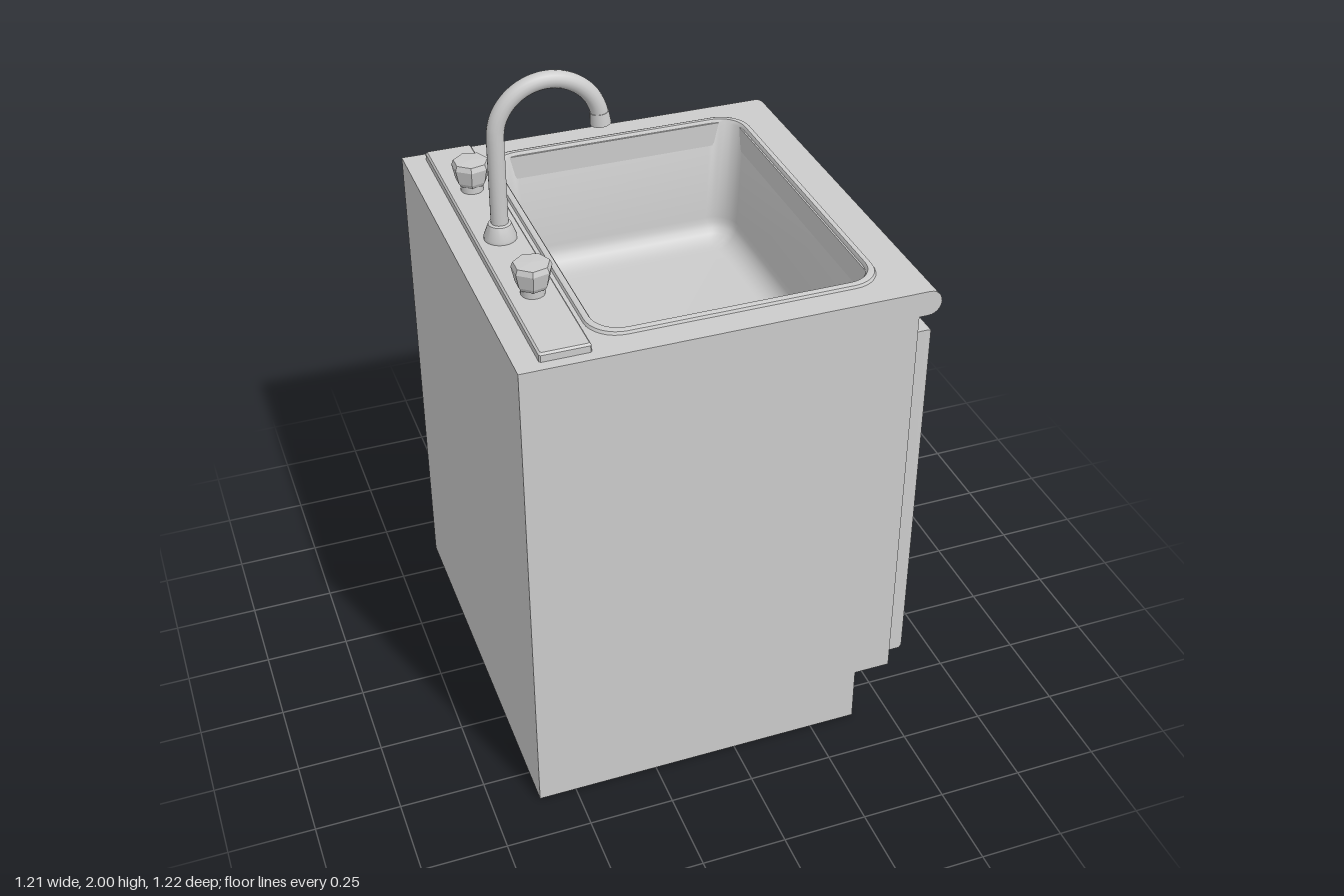
import * as THREE from 'three';
import { toCreasedNormals } from 'three/addons/utils/BufferGeometryUtils.js';

const material = new THREE.MeshStandardMaterial({ color: 0xcccccc });
const flatMaterial = new THREE.MeshStandardMaterial({ color: 0xcccccc, flatShading: true });

function add(parent, name, geometry, x = 0, y = 0, z = 0, mat = material) {
  const mesh = new THREE.Mesh(geometry, mat);
  mesh.name = name;
  mesh.position.set(x, y, z);
  parent.add(mesh);
  return mesh;
}

// Skin through equal-length loops, closing the last one with a fan.
function loft(loops) {
  const n = loops[0].length;
  const positions = loops.flat(2);
  const index = [];
  for (let i = 0; i < loops.length - 1; i++) {
    for (let j = 0; j < n; j++) {
      const a = i * n + j, b = i * n + (j + 1) % n;
      index.push(a, b, b + n, a, b + n, a + n);
    }
  }
  const last = (loops.length - 1) * n;
  for (let j = 1; j < n - 1; j++) index.push(last, last + j, last + j + 1);
  const g = new THREE.BufferGeometry();
  g.setAttribute('position', new THREE.Float32BufferAttribute(positions, 3));
  g.setIndex(index);
  return toCreasedNormals(g, 0.6);
}

// Horizontal rounded rectangle, anticlockwise seen from above.
function roundedLoop(halfX, halfZ, r, y, steps) {
  const pts = [];
  [[1, 1], [-1, 1], [-1, -1], [1, -1]].forEach(([sx, sz], q) => {
    for (let i = 0; i <= steps; i++) {
      const a = (q + i / steps) * Math.PI / 2;
      pts.push([sx * (halfX - r) + r * Math.cos(a), y, -sz * (halfZ - r) - r * Math.sin(a)]);
    }
  });
  return pts;
}

function rectPath(path, x0, x1, z0, z1) {
  path.moveTo(x0, z0).lineTo(x1, z0).lineTo(x1, z1).lineTo(x0, z1).closePath();
  return path;
}

// Rectangular wall frame, extruded upward from y0 to y1.
function frame(outer, inner, y0, y1) {
  const shape = rectPath(new THREE.Shape(), ...outer);
  shape.holes.push(rectPath(new THREE.Path(), ...inner));
  const g = new THREE.ExtrudeGeometry(shape, { depth: y1 - y0, bevelEnabled: false });
  return g.rotateX(-Math.PI / 2).translate(0, y0, 0);
}

// Moulded door: nested rectangles of [inset, x].
function doorGeometry(halfWidth, y0, y1) {
  const profile = [[0, 0.5], [0, 0.55], [0.006, 0.56], [0.014, 0.564], [0.044, 0.564],
    [0.05, 0.55], [0.085, 0.554], [0.132, 0.566], [0.133, 0.577]];
  return loft(profile.map(([d, x]) => {
    const w = halfWidth - d;
    return [[x, y0 + d, w], [x, y0 + d, -w], [x, y1 - d, -w], [x, y1 - d, w]];
  }));
}

export function createModel() {
  const model = new THREE.Group();
  model.name = 'sinkCabinet';

  // Cabinet and recessed plinth, open underneath
  add(model, 'plinth', frame([-0.61, 0.39, -0.61, 0.61], [-0.565, 0.345, -0.565, 0.565], 0, 0.175));
  add(model, 'cabinetFloor', new THREE.BoxGeometry(1.11, 0.03, 1.22), -0.055, 0.19, 0);
  add(model, 'cabinetWalls', frame([-0.61, 0.5, -0.61, 0.61], [-0.57, 0.46, -0.57, 0.57], 0.205, 1.425));

  // Countertop with a bullnose front edge
  add(model, 'countertop', frame([-0.61, 0.527, -0.61, 0.61], [-0.36, 0.41, -0.5, 0.5], 1.425, 1.5));
  const nose = new THREE.CylinderGeometry(0.0375, 0.0375, 1.22, 24).rotateX(Math.PI / 2);
  add(model, 'countertopNose', nose, 0.527, 1.4625, 0);

  // Basin: raised rim, sloping walls, rounded floor. Rows are [inset, y, corner radius]
  const rows = [[0, 1.498, 0.09], [0.004, 1.508, 0.09], [0.012, 1.511, 0.085],
    [0.02, 1.51, 0.08], [0.025, 1.5, 0.08], [0.042, 1.18, 0.08]];
  for (let i = 1; i <= 6; i++) {
    const a = i / 6 * Math.PI / 2;
    rows.push([0.042 + 0.07 * (1 - Math.cos(a)), 1.18 - 0.07 * Math.sin(a), 0.08 - 0.05 * i / 6]);
  }
  const basin = loft(rows.map(([d, y, r]) => roundedLoop(0.413 - d, 0.53 - d, r, y, 8)));
  add(model, 'basin', basin, 0.027, 0, 0);

  // Tap deck
  const deck = loft([[0, 1.5], [0, 1.52], [0.005, 1.526]].map(([d, y]) =>
    roundedLoop(0.07 - d, 0.577 - d, 0.004, y, 1)));
  add(model, 'tapDeck', deck, -0.475, 0, 0);

  // Gooseneck tap
  const tap = new THREE.Group();
  tap.name = 'tap';
  tap.position.set(-0.475, 0, -0.012);
  model.add(tap);
  const collar = [[0.046, 1.525], [0.046, 1.535], [0.032, 1.572], [0.024, 1.575]];
  add(tap, 'tapCollar', toCreasedNormals(
    new THREE.LatheGeometry(collar.map(p => new THREE.Vector2(...p)), 24), 0.6));
  const neck = new THREE.CurvePath();
  neck.add(new THREE.LineCurve3(new THREE.Vector3(0, 1.53, 0), new THREE.Vector3(0, 1.828, 0)));
  const arc = [];
  for (let i = 0; i <= 16; i++) {
    const a = Math.PI * (1 - i / 16 * 0.97);
    arc.push(new THREE.Vector3(0.148 + 0.148 * Math.cos(a), 1.828 + 0.148 * Math.sin(a), 0));
  }
  neck.add(new THREE.CatmullRomCurve3(arc));
  add(tap, 'tapNeck', new THREE.TubeGeometry(neck, 64, 0.0245, 16));
  const tip = add(tap, 'tapNozzle', new THREE.CylinderGeometry(0.026, 0.029, 0.036, 20), 0.294, 1.842, 0);
  tip.rotation.z = 0.1;

  // Seven-sided handles on round stems
  const knob = [[0, 1.545], [0.04, 1.548], [0.047, 1.56], [0.056, 1.603], [0.05, 1.618], [0, 1.62]]
    .map(p => new THREE.Vector2(...p));
  for (const [side, z] of [['left', -0.305], ['right', 0.295]]) {
    add(model, side + 'KnobStem', new THREE.CylinderGeometry(0.033, 0.033, 0.03, 20), -0.475, 1.537, z);
    add(model, side + 'Knob', new THREE.LatheGeometry(knob, 7, Math.PI / 2), -0.475, 0, z, flatMaterial);
  }

  // Doors with bar handles
  for (const [side, s] of [['right', 1], ['left', -1]]) {
    add(model, side + 'Door', doorGeometry(0.284, 0.2, 1.355), 0, 0, s * 0.293 + 0.002);
    const handle = new THREE.Group();
    handle.name = side + 'Handle';
    handle.position.z = s * 0.052 + 0.002;
    model.add(handle);
    add(handle, 'handleBar', new THREE.BoxGeometry(0.012, 0.28, 0.043), 0.598, 1.11, 0);
    for (const y of [1.015, 1.205]) {
      const post = new THREE.CylinderGeometry(0.016, 0.016, 0.04, 16).rotateZ(Math.PI / 2);
      add(handle, 'handlePost', post, 0.575, y, 0);
    }
  }
  return model;
}
